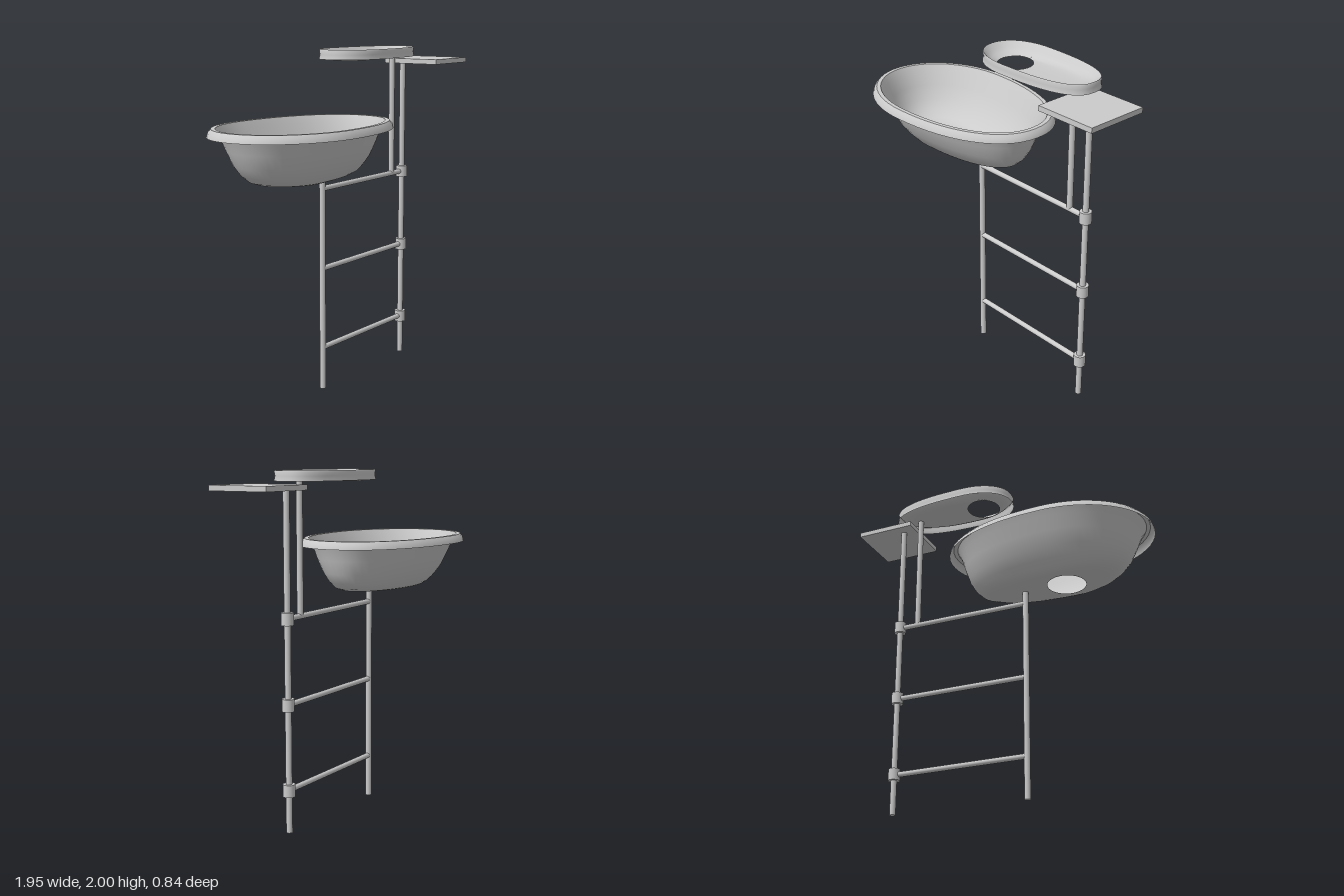
import * as THREE from 'three';
import { toCreasedNormals } from 'three/addons/utils/BufferGeometryUtils.js';

const grey = new THREE.MeshStandardMaterial({ color: 0xcccccc });
const thin = new THREE.MeshStandardMaterial({ color: 0xcccccc, side: THREE.DoubleSide });

function add(group, name, geometry, x, y, z, material = grey) {
  const mesh = new THREE.Mesh(geometry, material);
  mesh.name = name;
  mesh.position.set(x, y, z);
  group.add(mesh);
  return mesh;
}

// Egg-shaped shell lofted through rings [y, xLeft, xRight, halfDepth],
// widest at x = cx and ending in a round drain hole.
function eggShell(rings, cx, nLeft, nRight, hole, segments = 56) {
  const pos = [], index = [];
  const power = (v, e) => Math.sign(v) * Math.abs(v) ** e;
  const all = [...rings, null];
  all.forEach((ring) => {
    for (let j = 0; j < segments; j++) {
      const t = (j / segments) * Math.PI * 2, c = Math.cos(t), s = Math.sin(t);
      if (!ring) {
        pos.push(hole.x + hole.r * c, hole.y, hole.r * s);
        continue;
      }
      const [y, xl, xr, d] = ring;
      const e = 2 / (c < 0 ? nLeft : nRight);
      pos.push(cx + (c < 0 ? cx - xl : xr - cx) * power(c, e), y, d * power(s, e));
    }
  });
  for (let i = 0; i < all.length - 1; i++) {
    for (let j = 0; j < segments; j++) {
      const k = (j + 1) % segments;
      const a = i * segments + j, b = i * segments + k;
      index.push(a, a + segments, b, b, a + segments, b + segments);
    }
  }
  const g = new THREE.BufferGeometry();
  g.setAttribute('position', new THREE.Float32BufferAttribute(pos, 3));
  g.setIndex(index);
  return toCreasedNormals(g, 0.8);
}

export function createModel() {
  const model = new THREE.Group();
  model.name = 'washStand';

  // Large basin with a turned-down rim
  add(model, 'basin', eggShell([
    [1.555, -0.975, 0.31, 0.42],
    [1.58, -0.967, 0.303, 0.413],
    [1.6, -0.948, 0.285, 0.397],
    [1.6, -0.925, 0.26, 0.373],
    [1.555, -0.9, 0.235, 0.35],
    [1.48, -0.87, 0.213, 0.317],
    [1.4, -0.835, 0.185, 0.275],
    [1.345, -0.793, 0.152, 0.232],
    [1.31, -0.745, 0.115, 0.2],
    [1.293, -0.69, 0.06, 0.178],
    [1.283, -0.6, -0.06, 0.155],
  ], -0.43, 2, 2.2, { x: -0.43, y: 1.28, r: 0.115 }), 0, 0, 0, thin);

  // Small upper tray
  add(model, 'tray', eggShell([
    [1.943, -0.08, 0.705, 0.187],
    [1.97, -0.074, 0.699, 0.181],
    [1.993, -0.078, 0.703, 0.185],
    [2.0, -0.074, 0.699, 0.181],
    [1.992, -0.066, 0.69, 0.173],
    [1.97, -0.048, 0.655, 0.158],
    [1.952, -0.025, 0.58, 0.14],
    [1.941, 0.0, 0.43, 0.12],
  ], 0.2, 2.2, 2.6, { x: 0.112, y: 1.935, r: 0.1 }), 0, 0, -0.006, thin);

  // Upright poles: [name, x, bottom, top]
  for (const [name, x, y0, y1] of [
    ['basinPole', -0.165, 0, 1.282],
    ['shelfPole', 0.685, 0.01, 1.9],
    ['trayPole', 0.563, 1.21, 1.95],
  ]) {
    add(model, name, new THREE.CylinderGeometry(0.018, 0.018, y1 - y0, 20), x, (y0 + y1) / 2, 0);
  }

  // Rungs, each held by a collar on the shelf pole
  for (const y of [0.253, 0.735, 1.21]) {
    add(model, 'rung', new THREE.CylinderGeometry(0.016, 0.016, 0.85, 20), 0.26, y, 0).rotation.z = Math.PI / 2;
    add(model, 'collar', new THREE.CylinderGeometry(0.035, 0.035, 0.07, 20), 0.685, y, 0);
  }

  // Square shelf
  add(model, 'shelf', new THREE.BoxGeometry(0.37, 0.03, 0.37), 0.785, 1.911, 0.107);

  return model;
}
